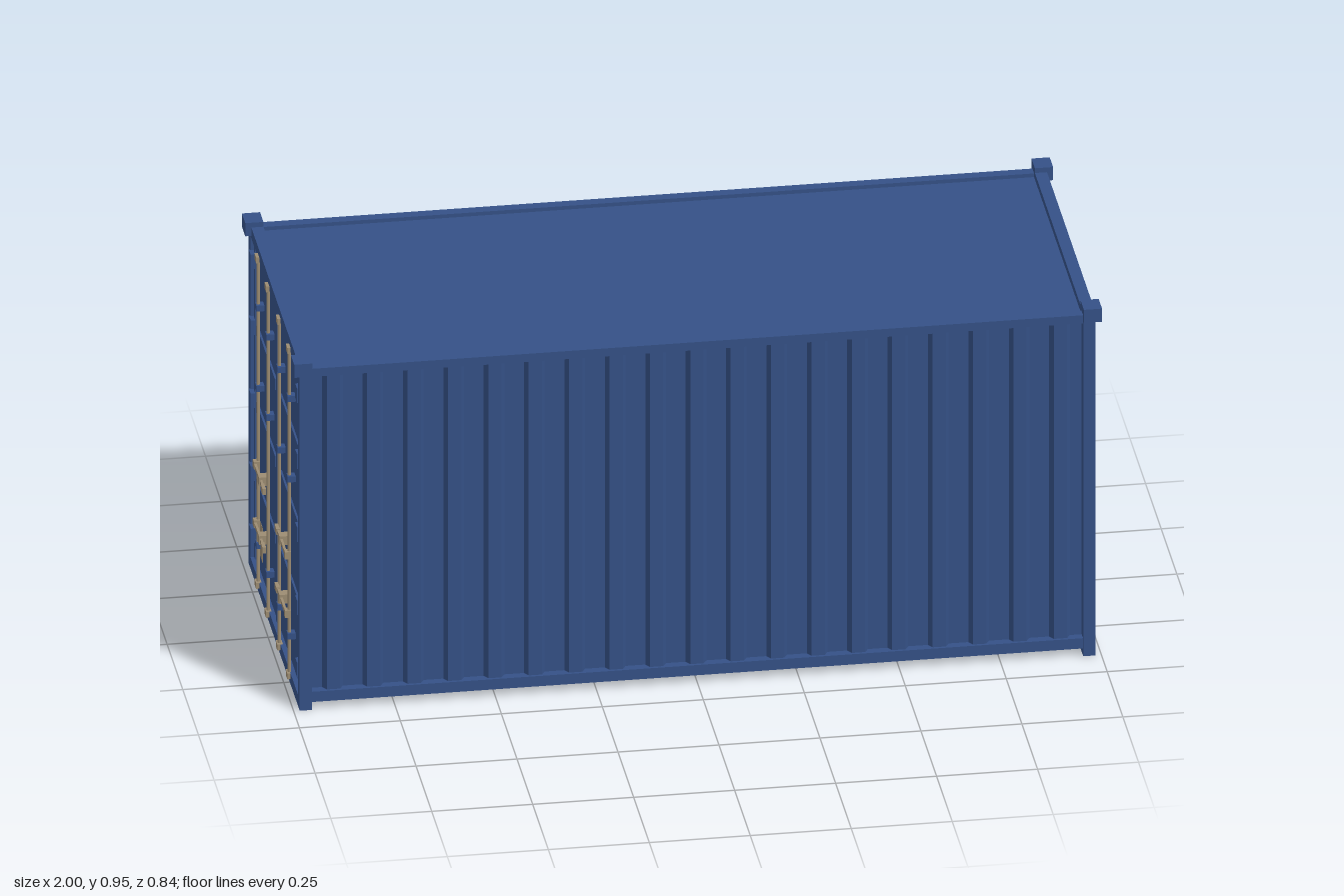
import * as THREE from 'three';

export function createModel() {
  const root = new THREE.Group();
  const blue = new THREE.MeshStandardMaterial({ name: 'container blue', color: 0x355187, side: THREE.DoubleSide });
  const metal = new THREE.MeshStandardMaterial({ name: 'lock metal', color: 0x9c8c72 });

  const add = (name, geometry, material, parent = root) => {
    const mesh = new THREE.Mesh(geometry, material);
    mesh.name = name;
    parent.add(mesh);
    return mesh;
  };
  // Box given by its lower and upper limits on each axis
  const box = (name, x0, x1, y0, y1, z0, z1, material = blue, parent = root) => {
    const mesh = add(name, new THREE.BoxGeometry(x1 - x0, y1 - y0, z1 - z0), material, parent);
    mesh.position.set((x0 + x1) / 2, (y0 + y1) / 2, (z0 + z1) / 2);
    return mesh;
  };
  // Corrugated sheet facing +z, with raised ribs at the given centres
  const corrugated = (half, y0, y1, centres, ribHalf, slope, depth) => {
    const profile = [[-half, 0]];
    for (const c of centres) {
      profile.push([c - ribHalf - slope / 2, 0], [c - ribHalf + slope / 2, depth],
        [c + ribHalf - slope / 2, depth], [c + ribHalf + slope / 2, 0]);
    }
    profile.push([half, 0]);
    const positions = [];
    for (let i = 0; i < profile.length - 1; i++) {
      const [xa, za] = profile[i], [xb, zb] = profile[i + 1];
      positions.push(xa, y0, za, xb, y0, zb, xb, y1, zb, xa, y0, za, xb, y1, zb, xa, y1, za);
    }
    const geometry = new THREE.BufferGeometry();
    geometry.setAttribute('position', new THREE.Float32BufferAttribute(positions, 3));
    geometry.computeVertexNormals();
    return geometry;
  };
  const spread = (count, step) => Array.from({ length: count }, (_, i) => (i - (count - 1) / 2) * step);

  // Long walls and their rails
  for (const s of [1, -1]) {
    const side = new THREE.Group();
    side.name = s > 0 ? 'frontSide' : 'backSide';
    side.rotation.y = s > 0 ? 0 : Math.PI;
    root.add(side);
    add('sideWall', corrugated(0.957, 0.045, 0.912, spread(19, 0.1), 0.021, 0.009, 0.015), blue, side)
      .position.z = 0.383;
    box('topSideRail', -0.956, 0.956, 0.91, 0.932, 0.378, 0.405, blue, side);
    box('bottomSideRail', -0.956, 0.956, 0.038, 0.048, 0.37, 0.405, blue, side);
    box('railOuterLip', -0.956, 0.956, 0.02, 0.038, 0.395, 0.405, blue, side);
    box('railInnerLip', -0.956, 0.956, 0.02, 0.038, 0.37, 0.378, blue, side);
  }

  // End frames with corner posts and top castings
  for (const s of [1, -1]) {
    const end = new THREE.Group();
    end.name = s > 0 ? 'leftEndFrame' : 'doorEndFrame';
    end.rotation.y = s > 0 ? 0 : Math.PI;
    root.add(end);
    box('bottomEndRail', 0.955, 0.985, 0, 0.03, -0.38, 0.38, blue, end);
    box('topEndRail', 0.955, 0.985, 0.91, 0.94, -0.38, 0.38, blue, end);
    for (const t of [1, -1]) {
      const z0 = t > 0 ? 0.38 : -0.408, z1 = t > 0 ? 0.408 : -0.38;
      box('cornerPost', 0.955, 0.985, 0, 0.94, z0, z1, blue, end);
      const c0 = t > 0 ? 0.364 : -0.418, c1 = t > 0 ? 0.418 : -0.364;
      box('cornerCasting', 0.955, 1, 0.917, 0.953, c0, c1, blue, end);
    }
  }

  // Closed end wall
  const endWall = add('endWall', corrugated(0.381, 0.028, 0.912, spread(8, 0.0955), 0.0215, 0.008, 0.014), blue);
  endWall.rotation.y = Math.PI / 2;
  endWall.position.x = 0.966;

  // Roof
  box('roof', -0.956, 0.956, 0.915, 0.922, -0.379, 0.379);

  // Doors with ridges, hinges, lock bars and handles
  for (const s of [1, -1]) {
    const door = new THREE.Group();
    door.name = s > 0 ? 'doorA' : 'doorB';
    root.add(door);
    const zBox = (name, x0, x1, y0, y1, za, zb, material = blue) =>
      box(name, x0, x1, y0, y1, Math.min(s * za, s * zb), Math.max(s * za, s * zb), material, door);

    zBox('doorPanel', -0.972, -0.964, 0.03, 0.91, 0.003, 0.38);
    zBox('doorInnerEdge', -0.977, -0.972, 0.035, 0.905, 0.004, 0.025);
    zBox('doorOuterEdge', -0.977, -0.972, 0.035, 0.905, 0.355, 0.376);
    for (const y of [0.25, 0.46, 0.67]) {
      zBox('doorRidge', -0.977, -0.972, y - 0.015, y + 0.015, 0.04, 0.34);
    }
    for (const y of [0.1, 0.27, 0.47, 0.67, 0.85]) {
      zBox('hinge', -0.988, -0.972, y - 0.02, y + 0.02, 0.355, 0.383);
    }
    for (const z of [0.09, 0.25]) {
      const bar = add('lockBar', new THREE.CylinderGeometry(0.0045, 0.0045, 0.905, 10), metal, door);
      bar.position.set(-0.986, 0.4675, s * z);
      for (const y of [0.022, 0.913]) {
        zBox('barCam', -0.993, -0.979, y - 0.008, y + 0.008, z - 0.012, z + 0.012, metal);
      }
      for (const y of [0.13, 0.56, 0.78]) {
        zBox('barBracket', -0.992, -0.972, y - 0.008, y + 0.008, z - 0.011, z + 0.011);
      }
    }
    for (const y of [0.19, 0.35]) {
      zBox('handle', -0.997, -0.991, y - 0.005, y + 0.005, 0.095, 0.25, metal);
      zBox('handleHub', -0.998, -0.983, y - 0.01, y + 0.01, 0.24, 0.258, metal);
      zBox('handleCatch', -0.999, -0.972, y - 0.012, y + 0.012, 0.15, 0.175, metal);
      zBox('handleGrip', -0.999, -0.99, y - 0.008, y + 0.008, 0.095, 0.125, metal);
    }
  }

  // Data plate, reaching through the door skin
  box('dataPlate', -0.9725, -0.9635, 0.07, 0.165, -0.335, -0.265, metal);

  return root;
}
